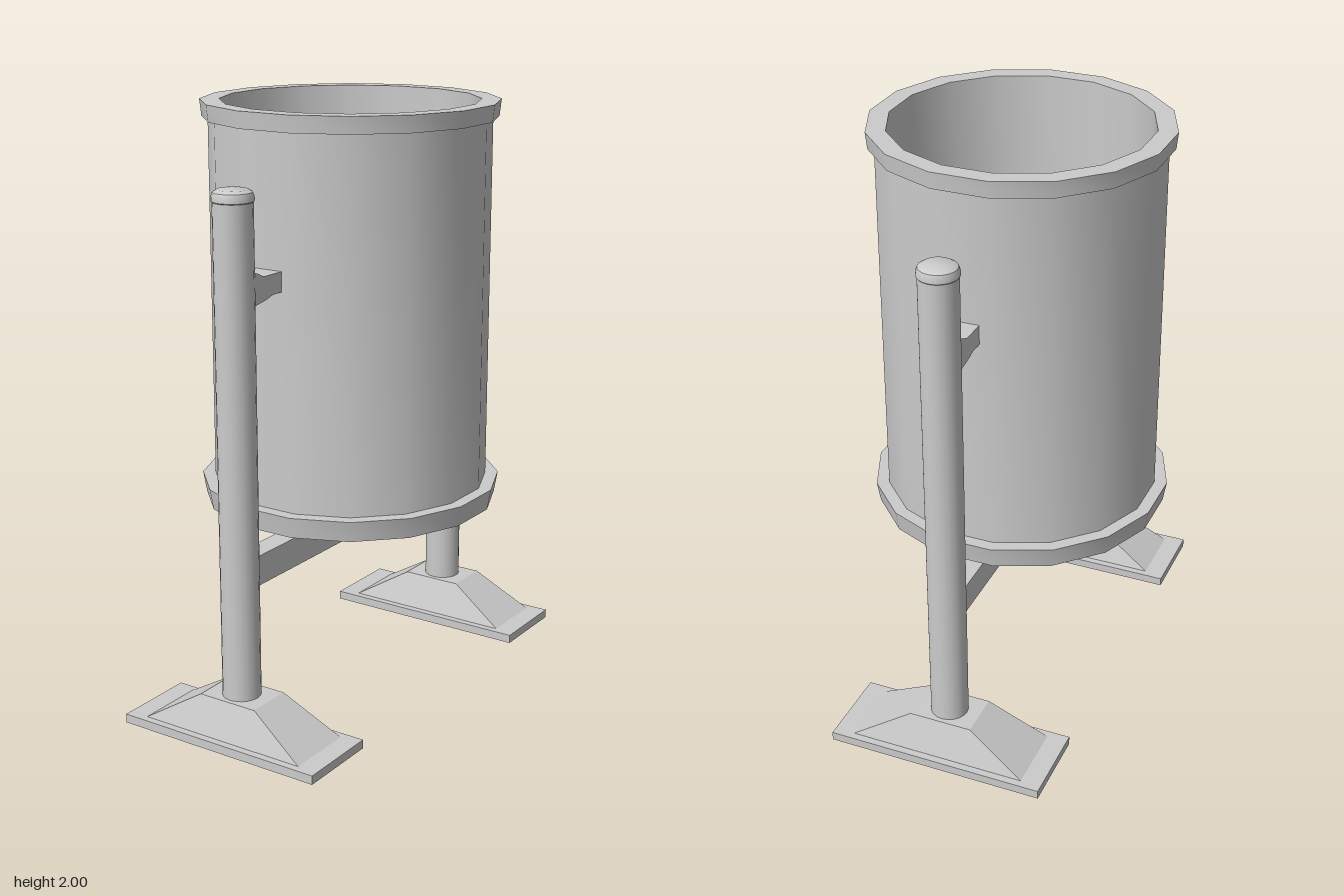
import * as THREE from 'three';
import { toCreasedNormals } from 'three/addons/utils/BufferGeometryUtils.js';

const material = new THREE.MeshStandardMaterial({ color: 0xcccccc });

function part(name, geometry, parent, x = 0, y = 0, z = 0) {
  const mesh = new THREE.Mesh(geometry, material);
  mesh.name = name;
  mesh.position.set(x, y, z);
  parent.add(mesh);
  return mesh;
}

// Lathe with smooth sides and sharp profile corners
function turned(profile, sides, phase = 0) {
  const points = profile.map(([r, y]) => new THREE.Vector2(r, y));
  return toCreasedNormals(new THREE.LatheGeometry(points, sides, phase), 0.6);
}

// Box whose top face is narrowed to the given size
function frustum(width, height, depth, topWidth, topDepth) {
  const geometry = new THREE.BoxGeometry(width, height, depth);
  const pos = geometry.attributes.position;
  for (let i = 0; i < pos.count; i++) {
    if (pos.getY(i) > 0) {
      pos.setX(i, Math.sign(pos.getX(i)) * topWidth / 2);
      pos.setZ(i, Math.sign(pos.getZ(i)) * topDepth / 2);
    }
  }
  return toCreasedNormals(geometry, 0.1);
}

// Side profile (z, y) extruded across x
function bracketGeometry() {
  const shape = new THREE.Shape([
    [0.43, 1.45], [0.5, 1.45], [0.535, 1.44], [0.6, 1.43],
    [0.6, 1.535], [0.575, 1.53], [0.545, 1.515], [0.43, 1.515],
  ].map(([z, y]) => new THREE.Vector2(z, y)));
  const width = 0.096;
  const geometry = new THREE.ExtrudeGeometry(shape, { depth: width, bevelEnabled: false });
  geometry.translate(0, 0, -width / 2);
  geometry.rotateY(-Math.PI / 2);
  return geometry;
}

export function createModel() {
  const model = new THREE.Group();
  model.name = 'litterBin';

  // Open sixteen-sided bin with a rim at each end
  part('bin', turned([
    [0, 0.66], [0.494, 0.66], [0.506, 0.73], [0.463, 0.73],
    [0.463, 1.945], [0.483, 1.945], [0.489, 2], [0.425, 2],
    [0.425, 0.7], [0, 0.7],
  ], 16, Math.PI / 16), model);

  // Post, foot and bracket on the front and back
  const post = turned([[0, 0.1], [0.063, 0.1], [0.063, 1.755]], 20);
  const cap = turned([
    [0.063, 1.752], [0.066, 1.755], [0.066, 1.768], [0.061, 1.782],
    [0.048, 1.79], [0, 1.792],
  ], 20);
  const plate = new THREE.BoxGeometry(0.75, 0.03, 0.285);
  const foot = frustum(0.61, 0.12, 0.235, 0.216, 0.157);
  const bracket = bracketGeometry();
  for (const [name, turn] of [['front', 0], ['back', Math.PI]]) {
    const support = new THREE.Group();
    support.name = name + 'Support';
    support.rotation.y = turn;
    part('post', post, support, 0, 0, 0.63);
    part('postCap', cap, support, 0, 0, 0.63);
    part('basePlate', plate, support, 0, 0.015, 0.63);
    part('foot', foot, support, 0, 0.09, 0.63);
    part('bracket', bracket, support);
    model.add(support);
  }

  // Beam joining the posts under the bin
  part('crossbar', new THREE.BoxGeometry(0.075, 0.1, 1.18), model, 0, 0.565, 0);

  return model;
}
